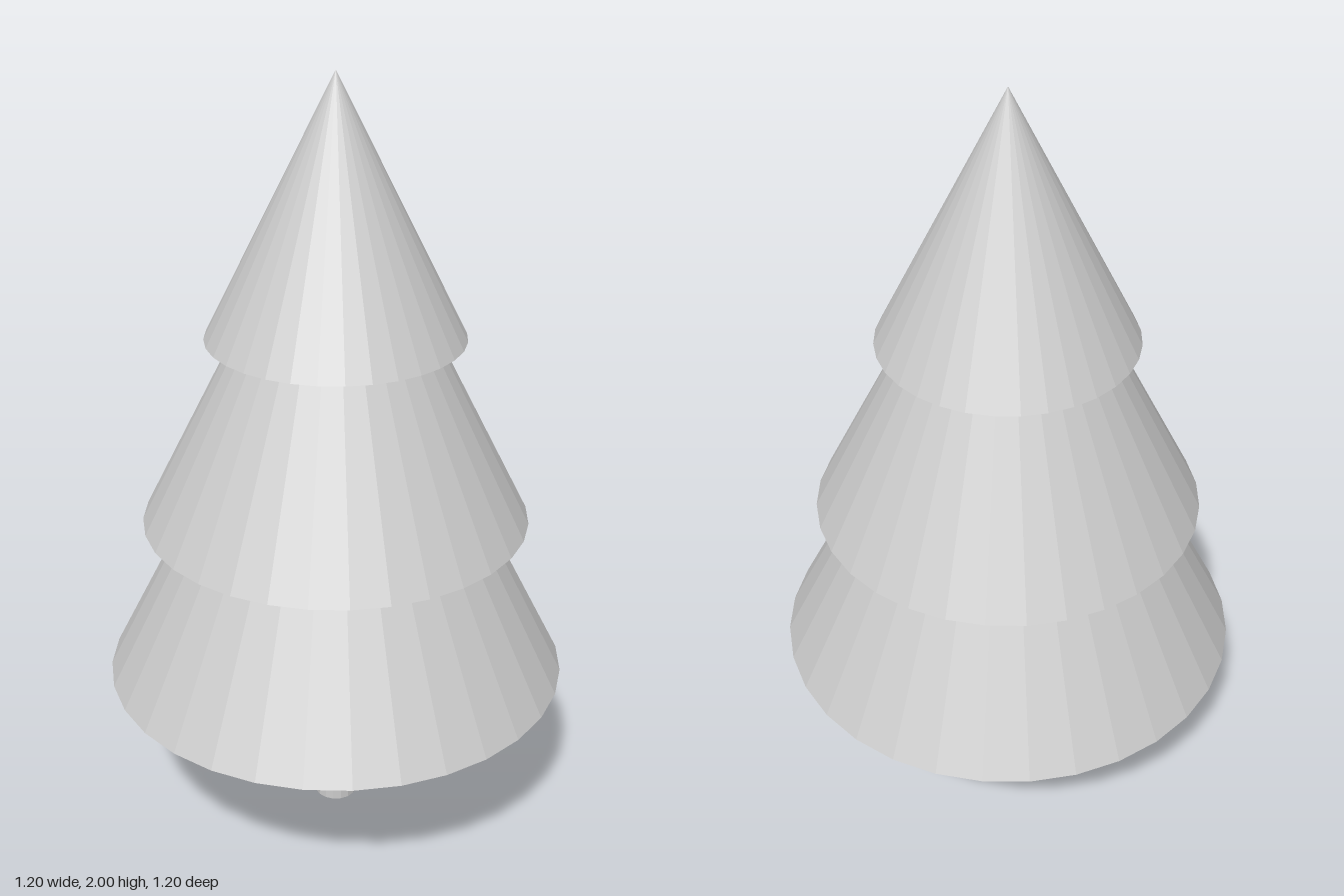
import * as THREE from 'three';

export function createModel() {
  const tree = new THREE.Group();
  tree.name = 'tree';

  const bark = new THREE.MeshStandardMaterial({ color: 0xcccccc, flatShading: true });
  const foliage = new THREE.MeshStandardMaterial({
    color: 0xcccccc, flatShading: true, side: THREE.DoubleSide,
  });

  // Trunk, running up inside the lowest tier until it meets the cone
  const trunkHeight = 1.49;
  const trunk = new THREE.Mesh(
    new THREE.CylinderGeometry(0.056, 0.056, trunkHeight, 16), bark);
  trunk.name = 'trunk';
  trunk.position.y = trunkHeight / 2;
  tree.add(trunk);

  // Foliage tiers: hollow cones, open underneath
  const tiers = [
    { name: 'lowerTier', radius: 0.6, base: 0.44, tip: 1.62 },
    { name: 'middleTier', radius: 0.495, base: 0.87, tip: 1.85 },
    { name: 'topTier', radius: 0.324, base: 1.355, tip: 2 },
  ];
  for (const { name, radius, base, tip } of tiers) {
    const tier = new THREE.Mesh(
      new THREE.ConeGeometry(radius, tip - base, 32, 1, true), foliage);
    tier.name = name;
    tier.position.y = (base + tip) / 2;
    tree.add(tier);
  }

  return tree;
}
